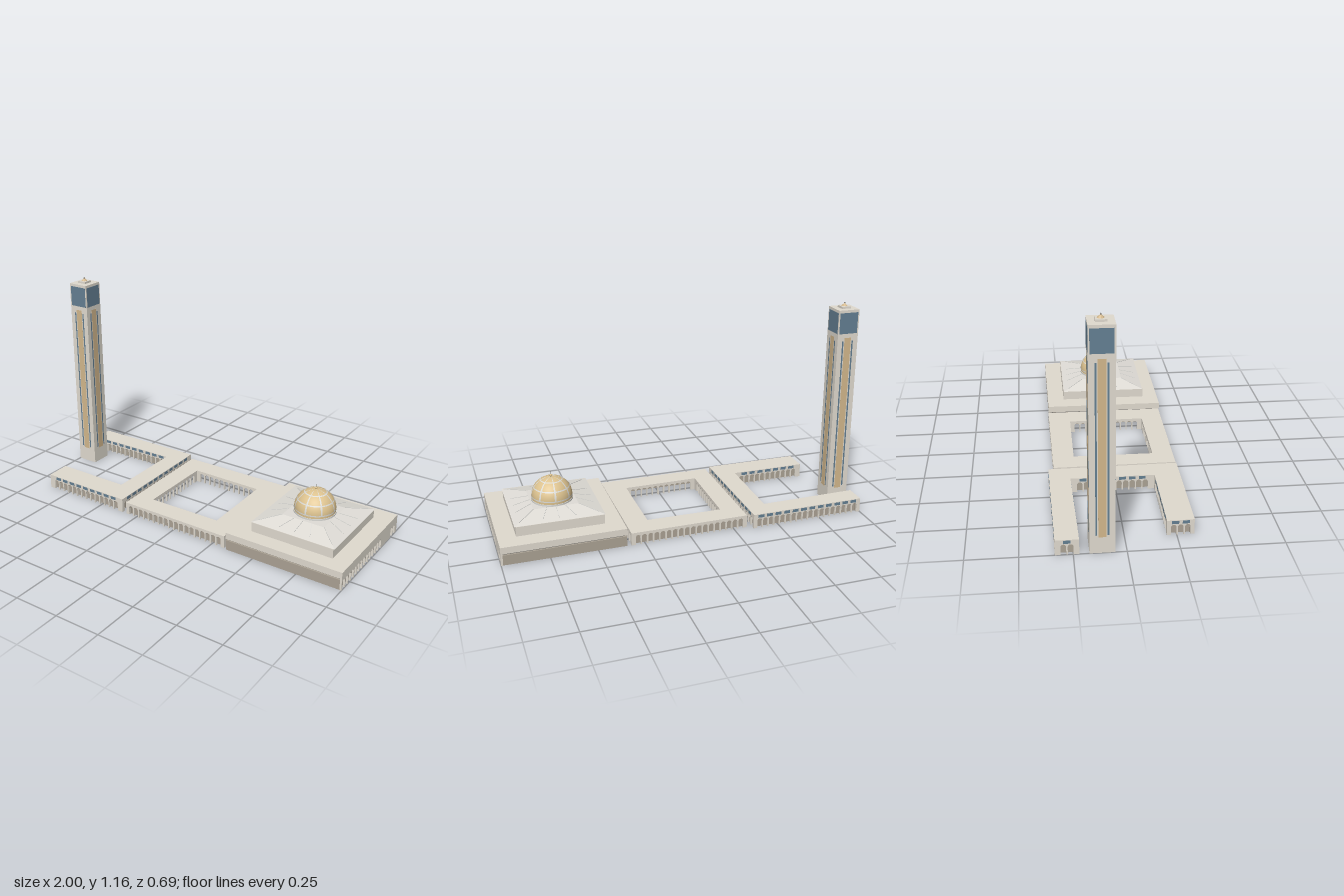
import * as THREE from 'three';
import { toCreasedNormals } from 'three/addons/utils/BufferGeometryUtils.js';

const paint = (name, color) => {
  const m = new THREE.MeshStandardMaterial({ color });
  m.name = name;
  return m;
};

export function createModel() {
  const stone = paint('pale stone', 0xe0dacf);
  const roof = paint('roof panel', 0xe0ddd7);
  const shade = paint('recess stone', 0xaba294);
  const gold = paint('gold', 0xdcc28f);
  const tan = paint('tan panel', 0xd2b78c);
  const blue = paint('blue glass', 0x647f92);
  const grey = paint('dark rib', 0x85827c);
  const silver = paint('light rib', 0xdadad6);

  const root = new THREE.Group();
  root.name = 'mosqueComplex';
  const group = (name, parent = root) => {
    const g = new THREE.Group();
    g.name = name;
    parent.add(g);
    return g;
  };
  const add = (parent, name, geo, mat, x = 0, y = 0, z = 0) => {
    const m = new THREE.Mesh(geo, mat);
    m.name = name;
    m.position.set(x, y, z);
    parent.add(m);
    return m;
  };
  // box given by its min and max corners
  const box = (parent, name, mat, x0, x1, y0, y1, z0, z1) =>
    add(parent, name, new THREE.BoxGeometry(x1 - x0, y1 - y0, z1 - z0), mat,
      (x0 + x1) / 2, (y0 + y1) / 2, (z0 + z1) / 2);

  // flat slab from a plan outline of [x, z] points
  const slab = (parent, name, mat, outline, hole, top, h) => {
    const v = (p) => new THREE.Vector2(p[0], p[1]);
    const s = new THREE.Shape(outline.map(v));
    if (hole) s.holes.push(new THREE.Path(hole.map(v)));
    const g = new THREE.ExtrudeGeometry(s, { depth: h, bevelEnabled: false });
    g.rotateX(Math.PI / 2);
    return add(parent, name, g, mat, 0, top, 0);
  };

  // group along a plan edge: local x runs a to b, local z points into the building
  const edge = (parent, name, a, b) => {
    const g = group(name, parent);
    g.position.set(a[0], 0, a[1]);
    g.rotation.y = -Math.atan2(b[1] - a[1], b[0] - a[0]);
    return { g, len: Math.hypot(b[0] - a[0], b[1] - a[1]) };
  };

  // wall with round-headed openings cut up from the ground
  const archWall = (parent, len, h, centres) => {
    const r = 0.0135, spring = 0.042;
    const s = new THREE.Shape();
    s.moveTo(0, 0);
    for (const c of centres) {
      s.lineTo(c - r, 0);
      s.lineTo(c - r, spring);
      s.absarc(c, spring, r, Math.PI, 0, true);
      s.lineTo(c + r, 0);
    }
    s.lineTo(len, 0);
    s.lineTo(len, h);
    s.lineTo(0, h);
    const g = new THREE.ExtrudeGeometry(s, { depth: 0.01, bevelEnabled: false, curveSegments: 8 });
    add(parent, 'archWall', g, stone);
  };

  // a row of evenly spaced arches, optionally with windows and a dark rear wall
  const arcade = (parent, a, b, h, { windows = false, back = false } = {}) => {
    const { g, len } = edge(parent, 'arcade', a, b);
    const n = Math.max(1, Math.floor((len - 0.03) / 0.034));
    const start = (len - (n - 1) * 0.034) / 2;
    archWall(g, len, h, Array.from({ length: n }, (_, i) => start + i * 0.034));
    if (back) box(g, 'rearWall', shade, 0.012, len - 0.012, 0, h, 0.018, 0.022);
    if (windows) {
      const k = Math.max(1, Math.floor((len - 0.03) / 0.051));
      for (let i = 0; i < k; i++) {
        const c = len / 2 + (i - (k - 1) / 2) * 0.051;
        box(g, 'window', blue, c - 0.017, c + 0.017, 0.06, 0.0765, -0.0008, 0.001);
      }
    }
  };

  // open U-shaped court beside the tower
  const court = group('outerCourt');
  const u = [[-1, -0.335], [-0.355, -0.343], [-0.347, 0.335], [-0.885, 0.335],
    [-0.888, 0.202], [-0.46, 0.202], [-0.46, -0.233], [-1, -0.222]];
  slab(court, 'courtRoof', stone, u, null, 0.08, 0.006);
  u.forEach((p, i) => arcade(court, p, u[(i + 1) % u.length], 0.075, { windows: true, back: true }));

  // closed ring cloister
  const cloister = group('cloister');
  const ring = [[-0.325, -0.315], [0.324, -0.322], [0.325, 0.335], [-0.32, 0.335]];
  const hole = [[-0.212, -0.203], [-0.215, 0.225], [0.205, 0.22], [0.202, -0.2]];
  slab(cloister, 'cloisterRoof', stone, ring, hole, 0.07, 0.01);
  ring.forEach((p, i) => arcade(cloister, p, ring[(i + 1) % 4], 0.061, { back: true }));
  hole.forEach((p, i) => arcade(cloister, p, hole[(i + 1) % 4], 0.061));

  // prayer hall base: hollow, three banded walls and one arched wall
  const hall = group('prayerHall');
  const plan = [[0.345, -0.32], [1, -0.323], [1, 0.342], [0.34, 0.342]];
  slab(hall, 'hallSlab', stone, plan, null, 0.1, 0.012);
  for (const i of [0, 2, 3]) {
    const { g, len } = edge(hall, 'bandedWall', plan[i], plan[(i + 1) % 4]);
    box(g, 'upperBand', stone, 0.001, len - 0.001, 0.064, 0.089, 0, 0.014);
    box(g, 'groove', grey, 0.011, len - 0.011, 0.05, 0.068, 0.011, 0.014);
    box(g, 'lowerBand', shade, 0.002, len - 0.002, 0, 0.055, 0.002, 0.014);
  }
  const side = edge(hall, 'sideWall', plan[1], plan[2]);
  const arches = [0.038, 0.07];
  for (let i = 0; i < 14; i++) arches.push(0.217 + i * 0.0327);
  archWall(side.g, side.len, 0.089, arches);
  box(side.g, 'archBacking', shade, 0.014, side.len - 0.014, 0, 0.088, 0.016, 0.02);

  // upper tier and hipped roof
  const cx = 0.673, cz = 0.014, hx = 0.232, hz = 0.24, ht = 0.12;
  box(hall, 'upperTier', stone, cx - hx, cx + hx, 0.1, 0.152, cz - hz, cz + hz);
  const hip = new THREE.CylinderGeometry(ht * Math.SQRT2, 0.237 * Math.SQRT2, 0.027, 4);
  hip.rotateY(Math.PI / 4);
  add(hall, 'hippedRoof', toCreasedNormals(hip, 0.1), roof, cx, 0.1655, cz);
  const onSquare = (a, half, y) => {
    const k = half / Math.max(Math.abs(Math.cos(a)), Math.abs(Math.sin(a)));
    return new THREE.Vector3(cx + Math.cos(a) * k, y, cz + Math.sin(a) * k);
  };
  // thin upright fins running down the roof
  for (let i = 0; i < 16; i++) {
    const a = (i / 16) * Math.PI * 2;
    const p = onSquare(a, ht, 0.179), q = onSquare(a, 0.21, 0.158);
    const fin = add(hall, 'roofFin', new THREE.BoxGeometry(0.002, 0.005, p.distanceTo(q)), silver);
    fin.position.copy(p).lerp(q, 0.5);
    fin.lookAt(q);
  }

  // ribbed dome, with ribs and bands as thin strips of the same curve
  const dome = group('dome', hall);
  dome.position.set(cx, 0, 0.004);
  const domeStrip = (name, mat, grow, t0, t1, steps, segs, phi, width) => {
    const pts = [];
    for (let i = 0; i <= steps; i++) {
      const t = t0 + (t1 - t0) * (i / steps);
      pts.push(new THREE.Vector2(Math.max(0, (0.109 + grow) * Math.cos(t)), 0.2 + (0.104 + grow) * Math.sin(t)));
    }
    add(dome, name, new THREE.LatheGeometry(pts, segs, phi, width), mat);
  };
  const quarter = Math.PI / 2, full = Math.PI * 2;
  domeStrip('domeShell', gold, 0, 0, quarter, 16, 48, 0, full);
  for (let i = 0; i < 8; i++) {
    domeStrip('domeRib', silver, 0.0015, 0, quarter, 16, 2, i * Math.PI / 4 - 0.045, 0.09);
  }
  for (const t of [0.03, 0.52, 1.02]) domeStrip('domeBand', silver, 0.0018, t - 0.03, t + 0.03, 1, 48, 0, full);
  add(dome, 'domeDrum', new THREE.CylinderGeometry(0.109, 0.109, 0.025, 48), gold, 0, 0.1875, 0);
  add(dome, 'domeFoot', new THREE.CylinderGeometry(0.112, 0.112, 0.012, 48), silver, 0, 0.182, 0);
  add(dome, 'finialBall', new THREE.SphereGeometry(0.007, 10, 8), gold, 0, 0.31, 0);
  add(dome, 'finialSpike', new THREE.ConeGeometry(0.003, 0.028, 8), grey, 0, 0.323, 0);

  // minaret tower, hollow below its solid top
  const tower = group('tower');
  tower.position.set(-0.94, 0, -0.115);
  const square = (h) => [[-h, -h], [h, -h], [h, h], [-h, h]];
  slab(tower, 'shaft', stone, square(0.06), square(0.055), 1.11, 1.11);
  slab(tower, 'shaftTop', stone, square(0.06), null, 1.125, 0.015);
  for (let i = 0; i < 4; i++) {
    const face = group('towerFace', tower);
    face.rotation.y = i * Math.PI / 2;
    box(face, 'tallPanel', tan, -0.019, 0.019, 0.085, 0.972, 0.059, 0.0606);
    for (const s of [-1, 1]) box(face, 'slitWindow', blue, s * 0.028 - 0.004, s * 0.028 + 0.004, 0.095, 0.955, 0.059, 0.0606);
    box(face, 'lanternGlass', blue, -0.053, 0.053, 0.995, 1.11, 0.059, 0.0606);
  }
  box(tower, 'capPlate', stone, -0.026, 0.026, 1.125, 1.136, -0.026, 0.026);
  const cap = new THREE.ConeGeometry(0.017, 0.016, 8);
  add(tower, 'capCone', toCreasedNormals(cap, 0.1), tan, 0, 1.144, 0);
  add(tower, 'capTip', new THREE.SphereGeometry(0.004, 8, 6), grey, 0, 1.152, 0);

  return root;
}
